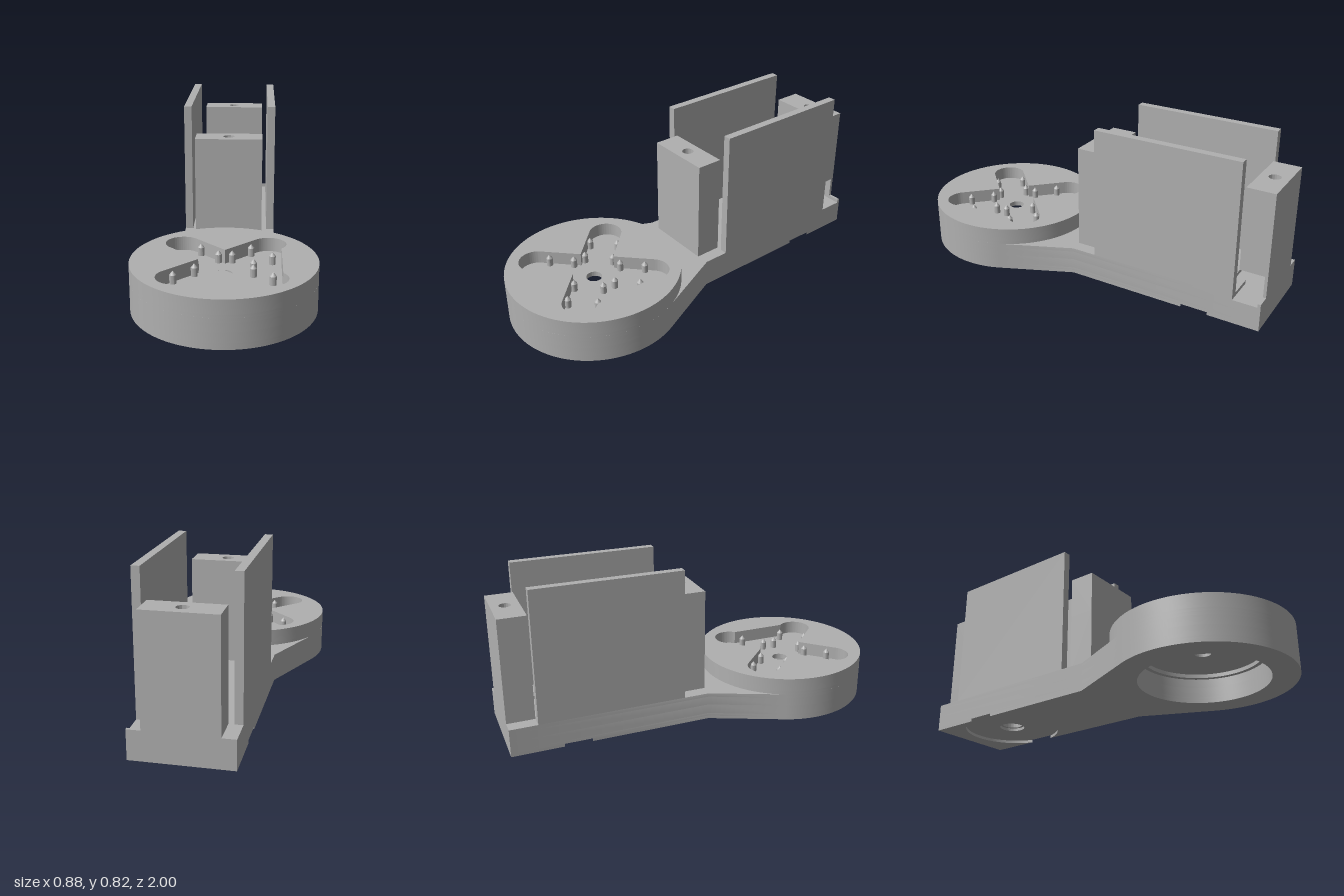
import * as THREE from 'three';
import { toCreasedNormals } from 'three/addons/utils/BufferGeometryUtils.js';

const DISC_Z = 0.56, DISC_R = 0.44; // round end of the arm
const NUT_Z = -0.67, PAD_R = 0.25; // pivot hole and shallow pad under it
const HALF = 0.24, NECK_Z = 0.02, BACK = -1;
const PLATE_TOP = 0.144, DISC_TOP = 0.23, SLOT_FLOOR = 0.16;
const SLOT_W = 0.085, SLOT_END = 0.297;

export function createModel() {
  const model = new THREE.Group();
  const grey = new THREE.MeshStandardMaterial({ color: 0xb0b0b0 });
  grey.name = 'grey plastic';

  function add(name, geometry, x = 0, y = 0, z = 0) {
    const mesh = new THREE.Mesh(geometry, grey);
    mesh.name = name;
    mesh.position.set(x, y, z);
    model.add(mesh);
    return mesh;
  }

  // Horizontal slab: shapes are drawn in (x, z) and fill y0..y1
  function slab(name, shape, y0, y1, holes = []) {
    shape.holes.push(...holes);
    const g = new THREE.ExtrudeGeometry(shape, { depth: y1 - y0, bevelEnabled: false, curveSegments: 48 });
    g.rotateX(Math.PI / 2).translate(0, y1, 0);
    return add(name, toCreasedNormals(g, 0.5));
  }

  function block(name, x0, x1, y0, y1, z0, z1) {
    return add(name, new THREE.BoxGeometry(x1 - x0, y1 - y0, z1 - z0),
      (x0 + x1) / 2, (y0 + y1) / 2, (z0 + z1) / 2);
  }

  const circle = (z, r, Type = THREE.Path) => new Type().absarc(0, z, r, 0, Math.PI * 2, false);
  const polygon = (pts, Type = THREE.Path) => new Type(pts.map(([x, z]) => new THREE.Vector2(x, z)));

  // Straight sides that meet the round end at a tangent
  const dx = HALF, dz = NECK_Z - DISC_Z;
  const tangent = Math.atan2(dz, dx) + Math.acos(DISC_R / Math.hypot(dx, dz));
  function roundEnd(shape) {
    shape.lineTo(HALF, NECK_Z);
    shape.absarc(0, DISC_Z, DISC_R, tangent, Math.PI - tangent, false);
    shape.lineTo(-HALF, NECK_Z);
    return shape;
  }
  function armOutline(notched) {
    const s = new THREE.Shape();
    s.moveTo(-HALF, BACK);
    s.lineTo(HALF, BACK);
    if (notched) {
      // cable channel, open at the left edge
      for (const [x, z] of [[HALF, -0.985], [-0.07, -0.985], [-0.07, -0.8], [0.07, -0.8], [0.07, -0.86], [HALF, -0.86]]) s.lineTo(x, z);
    }
    return roundEnd(s);
  }

  // Arm bottom layer, cut by the round pad recess
  const a = Math.acos(HALF / PAD_R), padHalf = PAD_R * Math.sin(a);
  const front = new THREE.Shape();
  front.moveTo(HALF, NUT_Z + padHalf);
  roundEnd(front);
  front.absarc(0, NUT_Z, PAD_R, Math.PI - a, a + 0.001, true);
  slab('armBottomFront', front, 0, 0.015, [circle(DISC_Z, 0.312)]);
  const back = new THREE.Shape();
  back.moveTo(-HALF, BACK);
  back.lineTo(HALF, BACK);
  back.absarc(0, NUT_Z, PAD_R, -a, -Math.PI + a, true);
  slab('armBottomBack', back, 0, 0.015);

  // Arm body: pivot hole below, hexagonal nut pocket above, round recess under the disc
  const hexagon = () => polygon(Array.from({ length: 6 }, (_, i) => {
    const t = i * Math.PI / 3 - 0.12;
    return [0.104 * Math.cos(t), NUT_Z + 0.104 * Math.sin(t)];
  }));
  slab('armLower', armOutline(false), 0.015, 0.03, [circle(DISC_Z, 0.312), circle(NUT_Z, 0.066)]);
  slab('armMiddle', armOutline(false), 0.03, 0.08, [circle(DISC_Z, 0.312), circle(NUT_Z, 0.053)]);
  slab('armUpper', armOutline(false), 0.08, 0.125, [circle(DISC_Z, 0.312), hexagon()]);
  slab('armTop', armOutline(true), 0.125, PLATE_TOP, [circle(DISC_Z, 0.29), hexagon()]);

  // Disc with a cross-shaped slot
  const cross = new THREE.Path();
  for (let k = 0; k < 4; k++) {
    const t = Math.PI / 4 + k * Math.PI / 2, n = t - Math.PI / 4;
    const x = SLOT_W * Math.SQRT2 * Math.cos(n), z = DISC_Z + SLOT_W * Math.SQRT2 * Math.sin(n);
    if (k === 0) cross.moveTo(x, z); else cross.lineTo(x, z);
    cross.absarc(SLOT_END * Math.cos(t), DISC_Z + SLOT_END * Math.sin(t), SLOT_W, t - Math.PI / 2, t + Math.PI / 2, false);
  }
  slab('slotFloor', circle(DISC_Z, DISC_R, THREE.Shape), PLATE_TOP, SLOT_FLOOR, [circle(DISC_Z, 0.04)]);
  slab('slottedDisc', circle(DISC_Z, DISC_R, THREE.Shape), SLOT_FLOOR, DISC_TOP, [cross]);
  slab('hubRing', circle(DISC_Z, 0.065, THREE.Shape), 0.134, PLATE_TOP, [circle(DISC_Z, 0.04)]);

  // Pointed pegs along the slot walls
  const pegProfile = [[0.016, 0], [0.016, 0.042], [0, 0.062]].map(([r, y]) => new THREE.Vector2(r, y));
  const peg = toCreasedNormals(new THREE.LatheGeometry(pegProfile, 16), 0.5);
  for (let k = 0; k < 4; k++) {
    const t = Math.PI / 4 + k * Math.PI / 2, c = Math.cos(t), s = Math.sin(t);
    for (const along of [0.12, 0.247]) for (const side of [-0.073, 0.073]) {
      add('peg', peg, along * c - side * s, SLOT_FLOOR, DISC_Z + along * s + side * c);
    }
  }

  // Side panels
  for (const side of [-1, 1]) {
    block('sidePanel', side * 0.22 - 0.02, side * 0.22 + 0.02, PLATE_TOP, 0.82, -0.86, -0.11);
  }

  // Screw posts, each with a screw hole in its top
  const W = 0.174, POST_TOP = 0.676;
  function post(name, z0, z1, y0) {
    block(name, -W, W, y0, 0.46, z0, z1);
    const top = polygon([[-W, z0], [W, z0], [W, z1], [-W, z1]], THREE.Shape);
    slab(name + 'Top', top, 0.46, POST_TOP, [circle((z0 + z1) / 2, 0.029)]);
  }
  post('frontPost', -0.11, 0.025, PLATE_TOP);
  post('backPost', BACK, -0.86, 0.255);

  // Foot of the back post, open for the cable channel
  block('backPostFoot', -W, -0.07, PLATE_TOP, 0.255, BACK, -0.86);
  block('backPostRearWall', -0.07, W, PLATE_TOP, 0.255, BACK, -0.985);

  return model;
}
